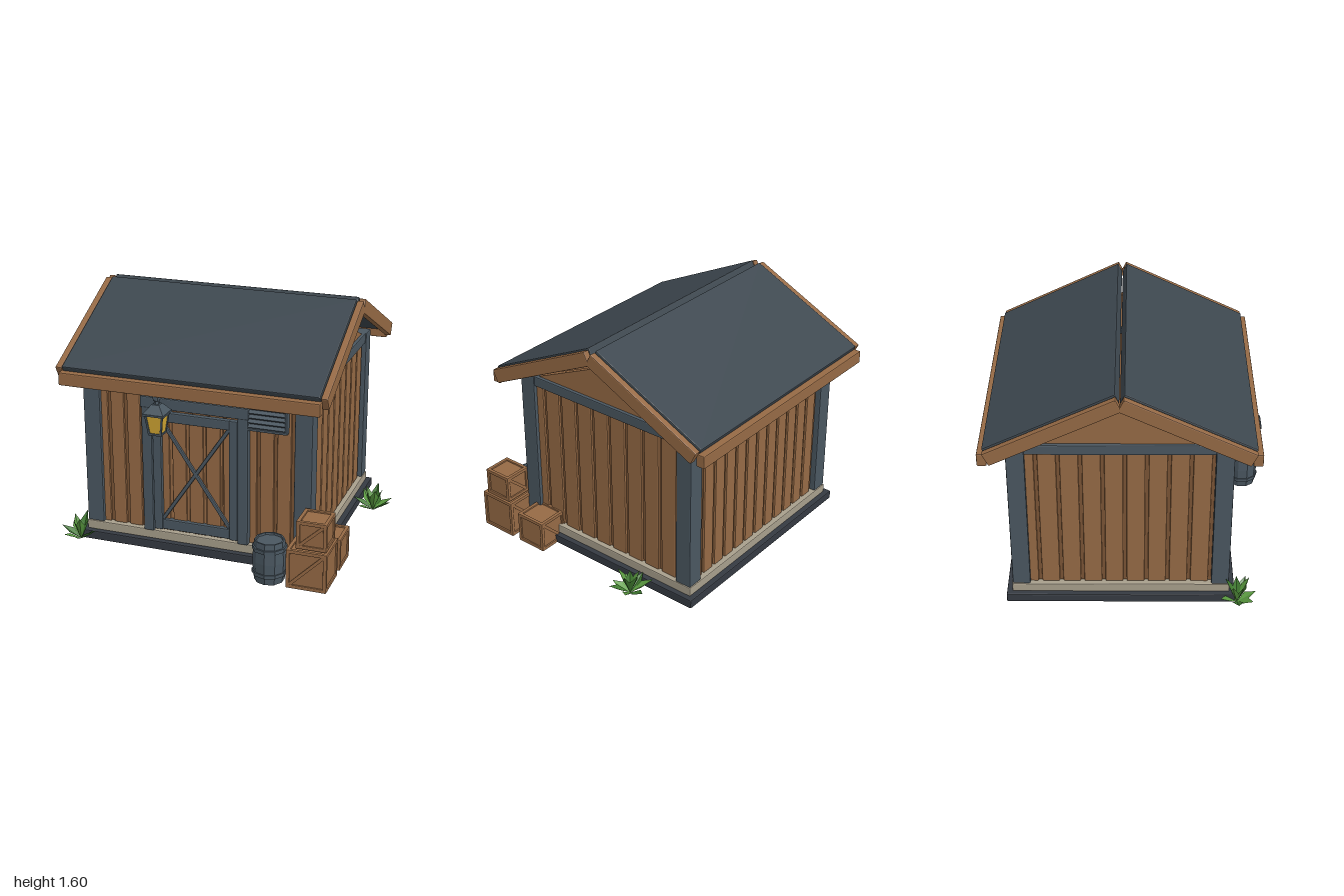
import * as THREE from 'three';
import { RoundedBoxGeometry } from 'three/addons/geometries/RoundedBoxGeometry.js';

const mat = (color, side = THREE.FrontSide) =>
  new THREE.MeshStandardMaterial({ color, flatShading: true, side });
const WOOD = mat(0x966a45), DARKWOOD = mat(0x7a5435), SLATE = mat(0x4a5761), ROOF = mat(0x3d474f);
const BASE = mat(0x353a42), STONE = mat(0xa89f8c), GLASS = mat(0xd8ac35);
const LEAF = mat(0x3f7a2f, THREE.DoubleSide), LEAF2 = mat(0x5a9a40, THREE.DoubleSide);

// Centre of the hut and its post-to-post half sizes
const CX = -0.063, CZ = -0.06, HX = 0.765, HZ = 0.695;

function add(parent, name, geo, material, x = 0, y = 0, z = 0) {
  const m = new THREE.Mesh(geo, material);
  m.name = name;
  m.position.set(x, y, z);
  parent.add(m);
  return m;
}

// Bevelled box given by its extents on each axis
function box(parent, name, material, [x0, x1], [y0, y1], [z0, z1]) {
  const w = x1 - x0, h = y1 - y0, d = z1 - z0;
  const r = Math.min(0.007, Math.min(w, h, d) * 0.3);
  return add(parent, name, new RoundedBoxGeometry(w, h, d, 1, r), material,
    (x0 + x1) / 2, (y0 + y1) / 2, (z0 + z1) / 2);
}

function group(parent, name, x = 0, y = 0, z = 0) {
  const g = new THREE.Group();
  g.name = name;
  g.position.set(x, y, z);
  parent.add(g);
  return g;
}

// Vertical planks along a wall facing +z, leaving a groove between neighbours
function planks(parent, from, to, pitch, first, y0, y1, z0, z1) {
  const gap = 0.022;
  let a = from;
  for (let g = first; a < to - 0.02; g += pitch) {
    const b = Math.min(g - gap / 2, to);
    if (b - a > 0.01) box(parent, 'wallPlank', WOOD, [a, b], [y0, y1], [z0, z1]);
    a = g + gap / 2;
  }
}

function buildBody(hut) {
  box(hut, 'baseSlab', BASE, [-0.805, 0.805], [0, 0.06], [-0.735, 0.735]);
  box(hut, 'stoneFooting', STONE, [-0.77, 0.77], [0.058, 0.12], [-0.7, 0.7]);
  box(hut, 'innerWalls', DARKWOOD, [-0.725, 0.725], [0.12, 1.15], [-0.655, 0.655]);
  for (const side of [0, 1, 2, 3]) {
    const wall = group(hut, 'wall');
    wall.rotation.y = side * Math.PI / 2;
    const long = side % 2 === 0;
    const half = long ? HX : HZ, out = long ? HZ : HX;
    const pitch = long ? 0.112 : 0.136;
    planks(wall, -half + 0.1, half - 0.1, pitch, -half + (long ? 0.167 : 0.178), 0.12, 1.13, out - 0.05, out - 0.025);
    box(wall, 'topBeam', SLATE, [-half + 0.1, half - 0.1], [1.12, 1.19], [out - 0.09, out - 0.008]);
  }
  for (const sx of [-1, 1]) for (const sz of [-1, 1]) {
    const p = box(hut, 'cornerPost', SLATE, [-0.057, 0.057], [0.12, 1.19], [-0.057, 0.057]);
    p.position.x = sx * (HX - 0.057);
    p.position.z = sz * (HZ - 0.057);
  }
  // Gable triangles
  const tri = new THREE.Shape([[-0.57, 1.185], [0.57, 1.185], [0, 1.44]].map(p => new THREE.Vector2(...p)));
  const gable = new THREE.ExtrudeGeometry(tri, { depth: 0.04, bevelEnabled: false }).translate(0, 0, -0.02);
  for (const s of [-1, 1]) add(hut, 'gable', gable, WOOD, s * (HX - 0.05)).rotation.y = Math.PI / 2;
}

function buildRoof(hut) {
  for (const turn of [0, Math.PI]) {
    const half = group(hut, 'roofHalf');
    half.rotation.y = turn;
    const slope = group(half, 'roofSlope', 0, 1.595, 0.024);
    slope.rotation.x = 0.45;
    box(slope, 'roofPanel', ROOF, [-0.842, 0.842], [-0.055, 0.011], [0, 0.885]);
    for (const s of [-1, 1])
      box(slope, 'bargeBoard', WOOD, [-0.022, 0.022], [-0.09, 0.002], [0, 0.885]).position.x = s * 0.867;
    box(half, 'eaveFascia', WOOD, [-0.853, 0.853], [1.105, 1.19], [0.797, 0.857]);
  }
}

function buildDoor(hut) {
  const door = group(hut, 'door', 0, 0, HZ);
  for (const s of [-1, 1]) {
    box(door, 'doorJamb', SLATE, [-0.034, 0.034], [0.12, 0.98], [-0.04, 0.02]).position.x = s * 0.322;
    box(door, 'doorStile', SLATE, [-0.029, 0.029], [0.135, 0.95], [-0.03, 0.012]).position.x = s * 0.257;
    const brace = box(door, 'crossBrace', SLATE, [-0.012, 0.012], [-0.41, 0.41], [-0.016, 0.004]);
    brace.position.y = 0.55;
    brace.rotation.z = s * Math.atan2(0.456, 0.68);
  }
  box(door, 'lintel', SLATE, [-0.36, 0.36], [0.975, 1.05], [-0.04, 0.028]);
  box(door, 'topRail', SLATE, [-0.23, 0.23], [0.885, 0.95], [-0.03, 0.01]);
  box(door, 'bottomRail', SLATE, [-0.23, 0.23], [0.14, 0.21], [-0.03, 0.01]);
  planks(door, -0.23, 0.23, 0.115, -0.1725, 0.2, 0.89, -0.03, -0.014);

  // Louvred vent
  const vent = group(hut, 'vent', 0.473, 1.0, HZ - 0.005);
  box(vent, 'ventBack', BASE, [-0.13, 0.13], [-0.09, 0.09], [-0.03, 0.005]);
  for (const s of [-1, 1]) {
    box(vent, 'ventSide', SLATE, [-0.008, 0.008], [-0.095, 0.095], [-0.03, 0.022]).position.x = s * 0.127;
    box(vent, 'ventEdge', SLATE, [-0.135, 0.135], [-0.008, 0.008], [-0.03, 0.022]).position.y = s * 0.088;
  }
  for (let i = 0; i < 5; i++) {
    const slat = box(vent, 'ventSlat', SLATE, [-0.12, 0.12], [-0.004, 0.004], [-0.018, 0.018]);
    slat.position.set(0, -0.062 + i * 0.031, 0.01);
    slat.rotation.x = 0.6;
  }
}

// Square tapered block; radii are half widths
const taper = (top, bottom, h) =>
  new THREE.CylinderGeometry(top * Math.SQRT2, bottom * Math.SQRT2, h, 4).rotateY(Math.PI / 4);

function buildLantern(root) {
  const g = group(root, 'lantern', -0.262, 0, 0.765);
  box(g, 'bracketArm', SLATE, [-0.018, 0.018], [1.075, 1.11], [-0.14, 0.025]);
  box(g, 'bracketPlate', SLATE, [-0.03, 0.03], [1.03, 1.13], [-0.145, -0.12]);
  add(g, 'hanger', new THREE.CylinderGeometry(0.015, 0.02, 0.04, 6), SLATE, 0, 1.065, 0);
  add(g, 'lanternCap', taper(0.026, 0.07, 0.055), SLATE, 0, 1.025, 0);
  add(g, 'lanternBrim', taper(0.072, 0.072, 0.012), SLATE, 0, 0.994, 0);
  add(g, 'lanternGlass', taper(0.055, 0.039, 0.125), GLASS, 0, 0.928, 0);
  add(g, 'lanternFoot', taper(0.046, 0.044, 0.014), SLATE, 0, 0.862, 0);
  for (const sx of [-1, 1]) for (const sz of [-1, 1]) {
    const bar = box(g, 'lanternBar', SLATE, [-0.007, 0.007], [-0.066, 0.066], [-0.007, 0.007]);
    bar.position.set(sx * 0.047, 0.928, sz * 0.047);
    bar.rotation.set(sz * 0.127, 0, -sx * 0.127);
  }
}

function buildBarrel(root) {
  const g = group(root, 'barrel', 0.49, 0, 0.805);
  const profile = [[0, 0], [0.095, 0], [0.103, 0.07], [0.106, 0.14], [0.103, 0.21], [0.095, 0.275], [0.085, 0.275], [0.083, 0.262], [0, 0.262]];
  add(g, 'barrelBody', new THREE.LatheGeometry(profile.map(p => new THREE.Vector2(...p)), 10), SLATE);
  for (const y of [0.06, 0.225])
    add(g, 'barrelHoop', new THREE.CylinderGeometry(0.11, 0.11, 0.024, 10), SLATE, 0, y, 0);
}

// Crate with a frame along all twelve edges and a diagonal on front and back
function buildCrate(root, x, y, z, w, h, d) {
  const g = group(root, 'crate', x, y + h / 2, z);
  const t = 0.024, size = [w, h, d];
  box(g, 'cratePanels', WOOD, ...size.map(s => [-s / 2 + 0.01, s / 2 - 0.01]));
  for (let axis = 0; axis < 3; axis++) for (const a of [-1, 1]) for (const b of [-1, 1]) {
    const dims = [t, t, t], pos = [0, 0, 0], u = (axis + 1) % 3, v = (axis + 2) % 3;
    dims[axis] = size[axis];
    pos[u] = a * (size[u] - t) / 2;
    pos[v] = b * (size[v] - t) / 2;
    add(g, 'crateEdge', new RoundedBoxGeometry(...dims, 1, 0.005), WOOD, ...pos);
  }
  for (const s of [-1, 1]) {
    const len = Math.hypot(w - 2 * t, h - 2 * t);
    const bar = add(g, 'crateDiagonal', new THREE.BoxGeometry(len, 0.02, 0.012), WOOD, 0, 0, s * (d / 2 - 0.008));
    bar.rotation.z = Math.atan2(h - 2 * t, w - 2 * t);
  }
}

// Folded pointed leaf reaching outward along +z
function leafGeometry(length, height, width) {
  const g = new THREE.BufferGeometry();
  g.setAttribute('position', new THREE.Float32BufferAttribute([
    0, 0, 0, -width, height * 0.65, length * 0.5, 0, height * 0.5, length * 0.55,
    width, height * 0.65, length * 0.5, 0, height, length], 3));
  g.setIndex([0, 2, 1, 0, 3, 2, 1, 2, 4, 2, 3, 4]);
  g.computeVertexNormals();
  return g;
}

function buildPlant(root, x, z) {
  const g = group(root, 'plant', x, 0, z);
  for (let i = 0; i < 12; i++) {
    const inner = i >= 7, k = (i * 5) % 3;
    const geo = inner ? leafGeometry(0.05 + k * 0.015, 0.14 + k * 0.018, 0.028)
      : leafGeometry(0.125 + k * 0.011, 0.06 + k * 0.02, 0.036);
    add(g, 'leaf', geo, i % 2 ? LEAF : LEAF2).rotation.y = inner ? i * 1.257 + 0.4 : i * 0.898 + 0.25;
  }
}

export function createModel() {
  const root = new THREE.Group();
  root.name = 'shed';
  const hut = group(root, 'hut', CX, 0, CZ);
  buildBody(hut);
  buildRoof(hut);
  buildDoor(hut);
  buildLantern(root);
  buildBarrel(root);
  buildCrate(root, 0.748, 0, 0.755, 0.26, 0.26, 0.26);
  buildCrate(root, 0.768, 0.26, 0.753, 0.195, 0.185, 0.2);
  buildCrate(root, 0.77, 0, 0.455, 0.215, 0.215, 0.22);
  buildPlant(root, -0.86, 0.69);
  buildPlant(root, 0.85, -0.39);
  return root;
}
